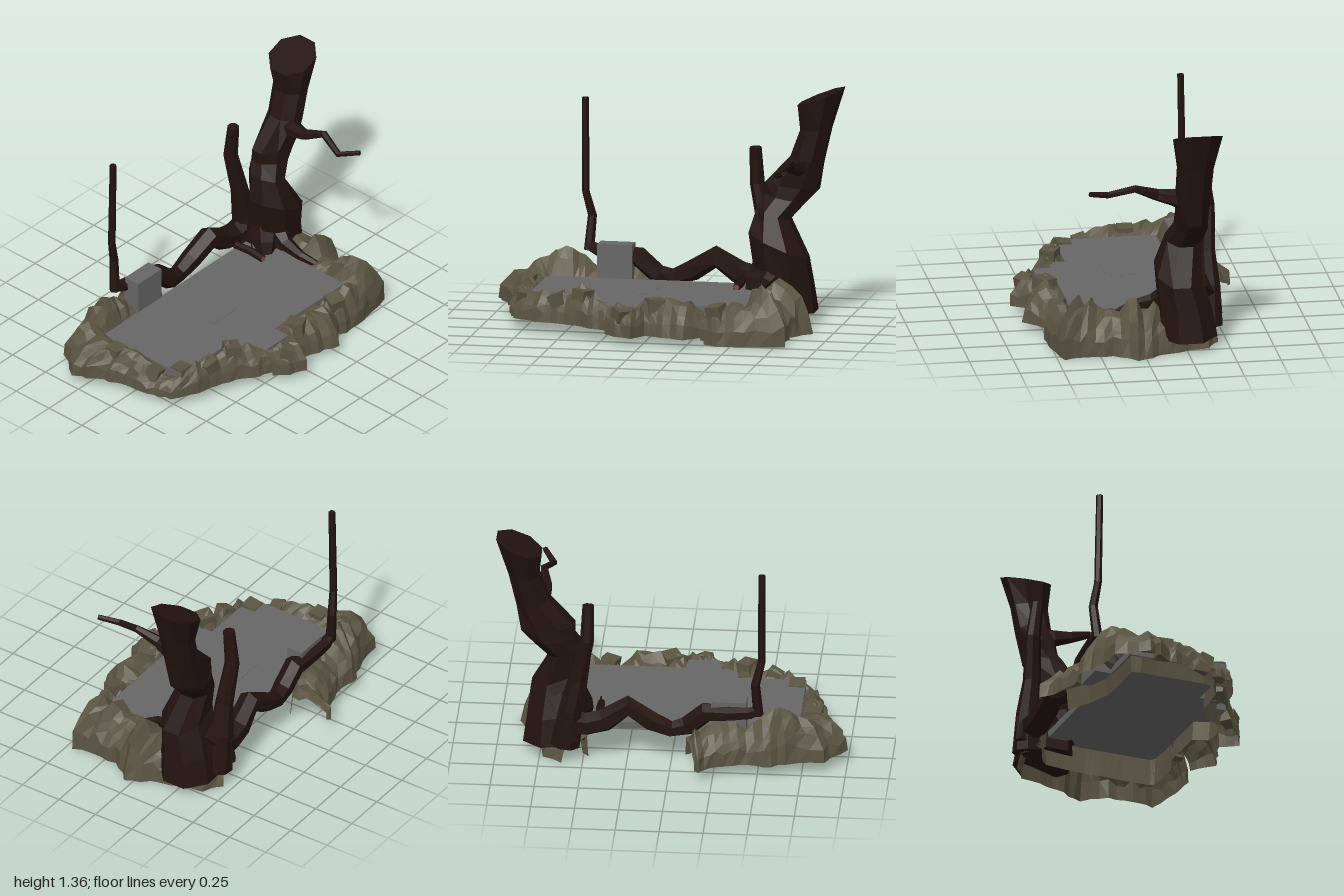
import * as THREE from 'three';

const mat = (color, side = THREE.FrontSide) => new THREE.MeshStandardMaterial({ color, flatShading: true, side });
const bark = mat(0x22130f), rock = mat(0x5a5442, THREE.DoubleSide), stone = mat(0x666666), cutWood = mat(0x8a4a2c);

// Small seeded generator for the rough rock surface
let seed = 11;
const rnd = () => {
  seed = (seed * 16807) % 2147483647;
  return seed / 2147483647;
};
const jit = (a) => (rnd() * 2 - 1) * a;

// Skin over a list of rings of Vector3: a closed, capped solid, or an open sheet
function loft(rings, closed = true) {
  const n = rings[0].length, pos = [], idx = [];
  for (const r of rings) for (const p of r) pos.push(p.x, p.y, p.z);
  for (let i = 0; i < rings.length - 1; i++)
    for (let j = 0; j < (closed ? n : n - 1); j++) {
      const a = i * n + j, b = i * n + (j + 1) % n;
      idx.push(a, b, b + n, a, b + n, a + n);
    }
  if (closed) {
    [0, rings.length - 1].forEach((k) => {
      const c = rings[k].reduce((s, p) => s.add(p), new THREE.Vector3()).divideScalar(n);
      const ci = pos.length / 3;
      pos.push(c.x, c.y, c.z);
      for (let j = 0; j < n; j++) {
        const a = k * n + j, b = k * n + (j + 1) % n;
        idx.push(...(k ? [ci, a, b] : [ci, b, a]));
      }
    });
    // Flip the winding if the enclosed volume is negative
    const at = (i) => new THREE.Vector3().fromArray(pos, i * 3);
    let vol = 0;
    for (let i = 0; i < idx.length; i += 3) vol += at(idx[i]).dot(at(idx[i + 1]).cross(at(idx[i + 2])));
    if (vol < 0) idx.reverse();
  }
  const g = new THREE.BufferGeometry();
  g.setAttribute('position', new THREE.Float32BufferAttribute(pos, 3));
  g.setIndex(idx);
  g.computeVertexNormals();
  return g;
}

// Bent limb through points [x, y, z, radius]; ref is a direction across the path
function limb(pts, ref, sides = 6) {
  const P = pts.map((p) => new THREE.Vector3(p[0], p[1], p[2]));
  return loft(P.map((p, i) => {
    const t = P[Math.min(i + 1, P.length - 1)].clone().sub(P[Math.max(i - 1, 0)]).normalize();
    const u = ref.clone().addScaledVector(t, -ref.dot(t)).normalize();
    const v = t.clone().cross(u);
    return Array.from({ length: sides }, (_, j) => {
      const a = ((j + 0.5) / sides) * Math.PI * 2;
      return p.clone().addScaledVector(u, Math.cos(a) * pts[i][3]).addScaledVector(v, Math.sin(a) * pts[i][3]);
    });
  }));
}

// Craggy shell, open underneath: stations [outerX, outerZ, innerX, innerZ, peakY], feet at y = base
const PROFILE = [[0, 0], [0.04, 0.4], [0.18, 0.64], [0.38, 0.88], [0.6, 1], [0.82, 0.84], [1, 0.62], [1.06, 0]];
function bank(stations, base) {
  const rings = [], SUB = 3;
  for (let i = 0; i < stations.length; i++)
    for (let s = 0; s < (i < stations.length - 1 ? SUB : 1); s++) {
      const A = stations[i], B = stations[Math.min(i + 1, stations.length - 1)];
      const [ox, oz, ix, iz, top] = A.map((a, k) => a + (B[k] - a) * (s / SUB));
      const h = (top - base) * (s ? 0.92 + jit(0.14) : 1), shift = s ? jit(0.07) : 0;
      rings.push(PROFILE.map(([f, y], k) => {
        const inside = k > 0 && k < 6;
        const q = f + (k < 6 ? shift * (1 - f) : 0) + (inside ? jit(0.05) : 0);
        const py = k === 6 ? Math.min(0.19, top) : base + h * (y + (inside ? jit(0.08) : 0));
        return new THREE.Vector3(ox + (ix - ox) * q, py, oz + (iz - oz) * q);
      }));
    }
  return loft(rings, false);
}

export function createModel() {
  const model = new THREE.Group();
  const add = (name, geo, material, x = 0, y = 0, z = 0) => {
    const m = new THREE.Mesh(geo, material);
    m.name = name;
    m.position.set(x, y, z);
    model.add(m);
    return m;
  };
  const X = new THREE.Vector3(1, 0, 0), Z = new THREE.Vector3(0, 0, 1);

  // Stone floor with its stepped right edge
  const floor = new THREE.Shape([
    [-0.31, 0.56], [0.38, 0.56], [0.38, -0.03], [0.48, -0.03], [0.48, -0.23],
    [0.38, -0.23], [0.38, -0.33], [0.28, -0.33], [0.28, -0.72], [-0.31, -0.72],
  ].map(([x, y]) => new THREE.Vector2(x, y)));
  add('floorSlab', new THREE.ExtrudeGeometry(floor, { depth: 0.04, bevelEnabled: false }).rotateX(-Math.PI / 2), stone, 0, 0.165, 0);
  add('floorInlay', new THREE.BoxGeometry(0.2, 0.01, 0.2), stone, -0.01, 0.202, 0.13);
  add('stoneBlock', new THREE.BoxGeometry(0.1, 0.23, 0.2), stone, -0.355, 0.285, 0.33);

  // Trunk rings: left x, right x, front z, front y, back z, back y
  const trunk = [
    [-0.43, -0.09, -0.48, 0.10, -0.85, 0.07],
    [-0.40, -0.10, -0.50, 0.28, -0.83, 0.22],
    [-0.34, -0.085, -0.47, 0.53, -0.81, 0.39],
    [-0.355, -0.15, -0.51, 0.67, -0.70, 0.60],
    [-0.375, -0.19, -0.55, 0.74, -0.79, 0.70],
    [-0.37, -0.195, -0.55, 0.81, -0.86, 0.77],
    [-0.375, -0.18, -0.70, 0.97, -0.885, 0.93],
    [-0.385, -0.18, -0.755, 1.12, -0.93, 1.13],
    [-0.43, -0.155, -0.74, 1.26, -1.0, 1.36],
  ];
  add('trunk', loft(trunk.map(([l, r, zf, yf, zb, yb]) => Array.from({ length: 8 }, (_, j) => {
    const a = ((j + 0.5) / 8) * Math.PI * 2, s = 1.06;
    const k = 0.5 + Math.sin(a) * 0.5 * s;
    return new THREE.Vector3((l + r) / 2 + Math.cos(a) * (r - l) * 0.5 * s, yb + (yf - yb) * k, zb + (zf - zb) * k);
  }))), bark);

  // Bare branch and side stem
  add('branch', limb([[-0.27, 0.90, -0.78, 0.07], [-0.17, 0.92, -0.745, 0.05], [-0.08, 0.935, -0.73, 0.035],
    [0.05, 0.985, -0.755, 0.022], [0.20, 0.94, -0.71, 0.019], [0.31, 0.97, -0.77, 0.015]], Z), bark);
  add('sideStem', limb([[-0.39, 0.10, -0.60, 0.09], [-0.40, 0.33, -0.57, 0.07], [-0.395, 0.52, -0.53, 0.052],
    [-0.41, 0.77, -0.475, 0.043], [-0.385, 0.98, -0.47, 0.035]], X, 8), bark);

  // Arching root along the left side, rising into a slim pole at the front
  add('archingRoot', limb([[-0.38, 0.24, -0.62, 0.09], [-0.39, 0.225, -0.48, 0.07], [-0.385, 0.25, -0.38, 0.07],
    [-0.37, 0.34, -0.245, 0.065], [-0.385, 0.255, -0.11, 0.06], [-0.385, 0.21, 0.0, 0.05], [-0.37, 0.225, 0.09, 0.058],
    [-0.375, 0.32, 0.20, 0.06], [-0.405, 0.33, 0.33, 0.045], [-0.42, 0.345, 0.45, 0.037], [-0.42, 0.37, 0.505, 0.027]], X), bark);
  add('pole', limb([[-0.42, 0.34, 0.50, 0.03], [-0.44, 0.54, 0.485, 0.026], [-0.425, 0.68, 0.52, 0.022],
    [-0.415, 1.225, 0.52, 0.02]], X), bark);

  // Roots spreading from the trunk foot
  const roots = [
    [[-0.2, 0.31, -0.62, 0.08], [-0.08, 0.25, -0.58, 0.045], [0.04, 0.23, -0.57, 0.028], [0.13, 0.2, -0.6, 0.02]],
    [[-0.25, 0.36, -0.58, 0.09], [-0.19, 0.24, -0.52, 0.07], [-0.15, 0.17, -0.49, 0.04]],
    [[-0.32, 0.34, -0.62, 0.09], [-0.42, 0.27, -0.57, 0.06], [-0.45, 0.14, -0.55, 0.035]],
  ];
  roots.forEach((r) => add('root', limb(r, Z), bark));

  // Small fallen log with a cut end and twig stubs
  add('fallenLog', limb([[-0.31, 0.225, -0.41, 0.022], [-0.21, 0.225, -0.42, 0.024], [-0.11, 0.22, -0.415, 0.022]], Z), bark);
  add('logEnd', new THREE.CylinderGeometry(0.016, 0.016, 0.006, 6).rotateZ(Math.PI / 2), cutWood, -0.108, 0.22, -0.415);
  for (const x of [-0.27, -0.2, -0.14])
    add('twigStub', new THREE.CylinderGeometry(0.004, 0.008, 0.05, 4), bark, x, 0.25, -0.42).rotation.x = x * 4 + 0.8;

  // Rocky banks around the floor
  add('frontBank', bank([
    [-0.63, 0.15, -0.44, 0.09, 0.2], [-0.64, 0.18, -0.42, 0.12, 0.27], [-0.57, 0.27, -0.36, 0.22, 0.29],
    [-0.53, 0.40, -0.31, 0.35, 0.29], [-0.55, 0.54, -0.30, 0.5, 0.31], [-0.51, 0.66, -0.30, 0.60, 0.37],
    [-0.47, 0.88, -0.30, 0.70, 0.29], [-0.30, 1.0, -0.24, 0.72, 0.25], [-0.18, 0.93, -0.14, 0.71, 0.25],
    [-0.06, 0.88, -0.03, 0.71, 0.26], [0.06, 0.86, 0.07, 0.71, 0.24], [0.17, 0.83, 0.15, 0.71, 0.17],
    [0.27, 0.80, 0.22, 0.69, 0.17], [0.35, 0.65, 0.27, 0.6, 0.25], [0.38, 0.53, 0.28, 0.5, 0.24],
    [0.42, 0.41, 0.29, 0.38, 0.29], [0.50, 0.30, 0.34, 0.30, 0.26], [0.54, 0.19, 0.46, 0.2, 0.2]], 0.07), rock);
  add('rightBank', bank([
    [0.51, -0.37, 0.41, -0.36, 0.15], [0.62, -0.25, 0.37, -0.27, 0.25], [0.58, -0.12, 0.37, -0.13, 0.26],
    [0.54, -0.01, 0.37, 0.02, 0.25], [0.64, 0.05, 0.46, 0.05, 0.22], [0.60, 0.15, 0.47, 0.14, 0.23],
    [0.53, 0.22, 0.46, 0.2, 0.2]], 0.05), rock);
  add('backBank', bank([
    [0.47, -0.34, 0.37, -0.30, 0.19], [0.52, -0.42, 0.37, -0.42, 0.23], [0.51, -0.58, 0.36, -0.52, 0.24],
    [0.46, -0.81, 0.34, -0.55, 0.33], [0.33, -0.78, 0.26, -0.55, 0.32], [0.18, -0.78, 0.16, -0.55, 0.25],
    [0.05, -0.89, 0.02, -0.55, 0.31], [-0.08, -0.81, -0.07, -0.55, 0.27], [-0.2, -0.78, -0.2, -0.54, 0.22],
    [-0.38, -0.73, -0.32, -0.52, 0.18], [-0.45, -0.62, -0.36, -0.48, 0.14]], 0), rock);

  // Angular stones bedded in the banks: x, y, z, size
  const stones = [
    [0.24, 0.17, 0.67, 0.09], [0.33, 0.2, 0.53, 0.08], [0.36, 0.22, 0.38, 0.09], [0.55, 0.17, 0.12, 0.08],
    [0.46, 0.21, -0.06, 0.1], [0.12, 0.16, 0.77, 0.08], [-0.14, 0.19, 0.80, 0.09], [0.44, 0.18, -0.41, 0.09],
  ];
  stones.forEach(([x, y, z, s], i) => {
    const b = add('bankStone', new THREE.BoxGeometry(s, s * (0.8 + rnd() * 0.4), s), rock, x, y, z);
    b.rotation.set(jit(0.25), i * 1.3, jit(0.25));
  });
  return model;
}
